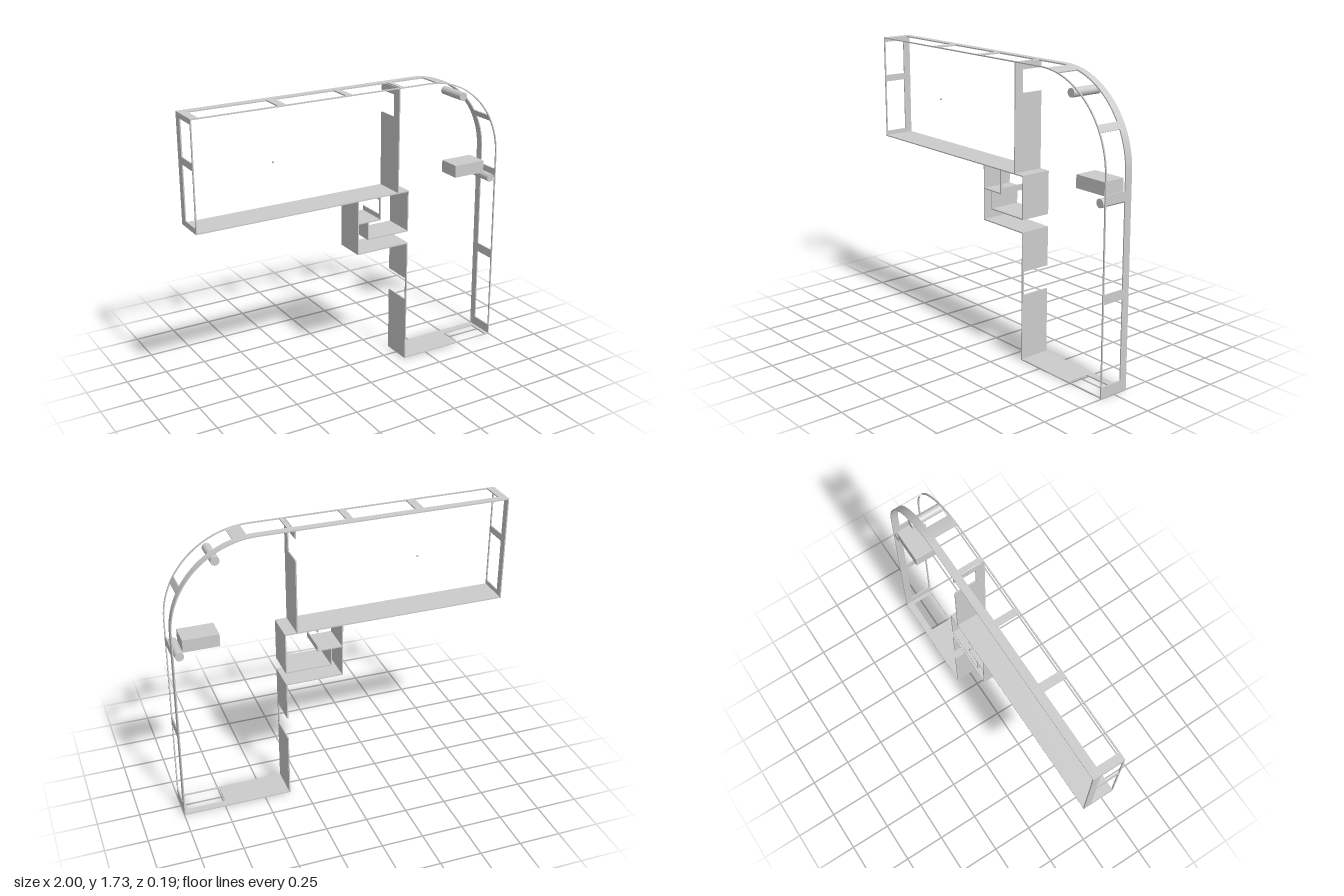
import * as THREE from 'three';
import { mergeGeometries, toCreasedNormals } from 'three/addons/utils/BufferGeometryUtils.js';

const T = 0.007;               // wall thickness
const BACK = -0.095, FRONT = 0.095;
const SILL = -0.05, LINTEL = 0.087;
const material = new THREE.MeshStandardMaterial({ color: 0xcccccc });
const V = (x, y) => new THREE.Vector2(x, y);

// Part of a polyline between the lengths s0 and s1
function subPath(pts, s0, s1) {
  const out = [];
  let s = 0;
  for (let i = 0; i < pts.length - 1; i++) {
    const a = pts[i], b = pts[i + 1], len = a.distanceTo(b);
    const lo = Math.max(s0, s), hi = Math.min(s1, s + len);
    if (hi - lo > 1e-5) {
      if (!out.length) out.push(a.clone().lerp(b, (lo - s) / len));
      out.push(a.clone().lerp(b, (hi - s) / len));
    }
    s += len;
  }
  return out;
}

// Thick polyline with mitred corners, extruded from z0 to z1
function strip(pts, z0, z1) {
  const left = [], right = [];
  pts.forEach((p, i) => {
    const d0 = (i ? p.clone().sub(pts[i - 1]) : pts[1].clone().sub(p)).normalize();
    const d1 = (i < pts.length - 1 ? pts[i + 1].clone().sub(p) : d0.clone()).normalize();
    const n = V(-d0.y - d1.y, d0.x + d1.x).normalize();
    const off = n.multiplyScalar(T / 2 / n.dot(V(-d0.y, d0.x)));
    left.push(p.clone().add(off));
    right.push(p.clone().sub(off));
  });
  const shape = new THREE.Shape([...left, ...right.reverse()]);
  return new THREE.ExtrudeGeometry(shape, { depth: z1 - z0, bevelEnabled: false }).translate(0, 0, z0);
}

// Wall along a path; openings are [start, end, zMin, zMax] along its length
function wall(name, pts, openings = []) {
  let total = 0;
  for (let i = 1; i < pts.length; i++) total += pts[i].distanceTo(pts[i - 1]);
  const pieces = [];
  const add = (s0, s1, z0, z1) => {
    if (s1 - s0 > 1e-4 && z1 - z0 > 1e-4) pieces.push(strip(subPath(pts, s0, s1), z0, z1));
  };
  let s = 0;
  for (const [a, b, z0 = SILL, z1 = LINTEL] of openings) {
    add(s, a, BACK, FRONT);
    add(a, b, BACK, z0);
    add(a, b, z1, FRONT);
    s = b;
  }
  add(s, total, BACK, FRONT);
  const mesh = new THREE.Mesh(toCreasedNormals(mergeGeometries(pieces), 0.5), material);
  mesh.name = name;
  return mesh;
}

export function createModel() {
  const group = new THREE.Group();
  group.name = 'floorPlanWalls';

  // Windowed outer wall: left end, long side, rounded corner, right side
  const outer = [V(-0.9965, 1.1), V(-0.9965, 1.7265)];
  const R = 0.505, N = 40;
  for (let i = 0; i <= N; i++) {
    const a = (i / N) * Math.PI / 2;
    outer.push(V(0.48 + R * Math.sin(a), 1.2215 + R * Math.cos(a)));
  }
  outer.push(V(0.9955, 0));
  group.add(wall('outerWall', outer, [
    [0.03, 0.35], [0.39, 0.60],
    [0.67, 1.13], [1.18, 1.55], [1.59, 1.905], [1.93, 2.155],
    [2.236, 2.623], [2.666, 2.988], [3.043, 3.528], [3.583, 4.053],
  ]));

  // End wall and inner side wall, each with a doorway
  group.add(wall('endWall', [V(0.9955, 0.0035), V(0.345, 0.0035)], [[0.025, 0.255]]));
  group.add(wall('innerSideWall', [V(0.345, 0), V(0.345, 0.772), V(0.004, 0.772), V(0.004, 1.1)],
    [[0.40, 0.54, BACK, 0.083]]));

  // Long inner wall, turning into the small rooms
  group.add(wall('longInnerWall', [V(-1, 1.1), V(0.345, 1.1), V(0.345, 0.852), V(0.073, 0.852), V(0.073, 0.96)]));
  group.add(wall('closetWall', [V(0.004, 0.96), V(0.153, 0.96), V(0.153, 1.1)], [[0.18, 0.27, BACK, 0.083]]));

  // Partition between the two large rooms
  group.add(wall('partition', [V(0.275, 1.1), V(0.275, 1.7265)], [[0.45, 0.58, BACK, 0.04]]));

  // Round columns
  for (const [x, y] of [[0.72, 1.62], [0.95, 1.08]]) {
    const column = new THREE.Mesh(new THREE.CylinderGeometry(0.025, 0.025, FRONT - BACK, 32), material);
    column.rotation.x = Math.PI / 2;
    column.position.set(x, y, 0);
    column.name = 'column';
    group.add(column);
  }

  // Counter block and a tiny marker
  const box = (name, w, h, d, x, y, z) => {
    const mesh = new THREE.Mesh(new THREE.BoxGeometry(w, h, d), material);
    mesh.position.set(x, y, z);
    mesh.name = name;
    group.add(mesh);
  };
  box('counter', 0.21, 0.075, 0.14, 0.825, 1.1425, -0.025);
  box('marker', 0.008, 0.008, 0.008, -0.5, 1.4, 0.025);

  return group;
}
